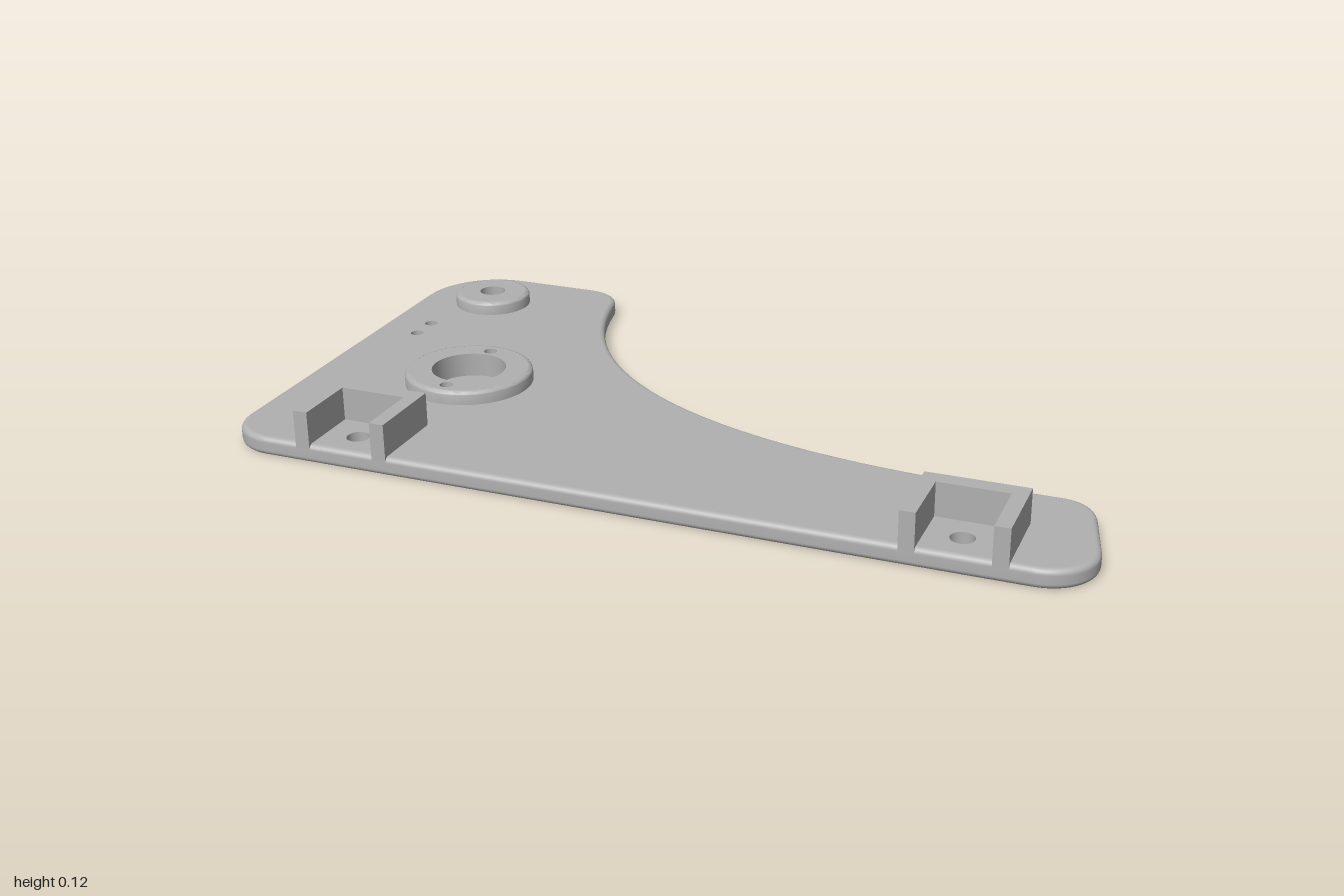
import * as THREE from 'three';
import { toCreasedNormals } from 'three/addons/utils/BufferGeometryUtils.js';

const T = 0.045;        // plate thickness
const BOSS = 0.078;     // top of the bosses
const F = 0.013;        // plate edge fillet
const FRONT = 0.585;

const grey = new THREE.MeshStandardMaterial({ color: 0xb0b0b0, side: THREE.DoubleSide });
grey.name = 'grey plastic';

function add(parent, name, geometry) {
  const mesh = new THREE.Mesh(geometry, grey);
  mesh.name = name;
  parent.add(mesh);
  return mesh;
}

// Turn a geometry inside out
function flip(g) {
  g.index.array.reverse();
  g.computeVertexNormals();
  return g;
}

// Shapes are drawn in (x, -z) so that they lie flat facing up
function circle(x, z, r, Type = THREE.Path) {
  const p = new Type();
  p.absarc(x, -z, r, 0, Math.PI * 2, false);
  return p;
}

function face(parent, name, shape, holes, y, down = false) {
  shape.holes = holes.map(([x, z, r]) => circle(x, z, r));
  const g = new THREE.ShapeGeometry(shape, 24).rotateX(-Math.PI / 2).translate(0, y, 0);
  add(parent, name, down ? flip(g) : g);
}

// Inner wall of a round hole
function bore(parent, name, [x, z, r], y0, y1) {
  const g = new THREE.CylinderGeometry(r, r, y1 - y0, 48, 1, true);
  add(parent, name, flip(g).translate(x, (y0 + y1) / 2, z));
}

// Plate outline, clockwise from the back left corner
function outlinePoints() {
  const s = new THREE.Shape();
  s.moveTo(-0.81, 0.585);
  s.lineTo(-0.605, 0.585);
  s.bezierCurveTo(-0.55, 0.585, -0.51, 0.557, -0.5, 0.51);
  s.bezierCurveTo(-0.42, 0.05, 0, -0.24, 0.7, -0.24);
  s.lineTo(0.87, -0.24);
  s.bezierCurveTo(0.915, -0.24, 0.947, -0.265, 0.96, -0.31);
  s.lineTo(0.995, -0.45);
  s.bezierCurveTo(1.012, -0.52, 0.96, -FRONT, 0.88, -FRONT);
  s.lineTo(-0.89, -FRONT);
  s.absarc(-0.89, -0.475, 0.11, -Math.PI / 2, -Math.PI, true);
  s.lineTo(-1, 0.395);
  s.absarc(-0.81, 0.395, 0.19, Math.PI, Math.PI / 2, true);
  const pts = s.getPoints(28);
  const out = pts.filter((p, i) => i === 0 || p.distanceTo(pts[i - 1]) > 1e-4);
  if (out[0].distanceTo(out[out.length - 1]) < 1e-4) out.pop();
  return out;
}

function inset(pts, d) {
  const n = pts.length;
  return pts.map((p, i) => {
    const a = p.clone().sub(pts[(i + n - 1) % n]).normalize();
    const b = pts[(i + 1) % n].clone().sub(p).normalize();
    const t = a.add(b).normalize();
    return new THREE.Vector2(p.x + t.y * d, p.y - t.x * d);
  });
}

// Rounded rim lofted around the outline
function rimGeometry(pts) {
  const steps = 6, rings = [], pos = [], idx = [], n = pts.length;
  for (let k = 0; k <= steps; k++) {
    const a = (k / steps) * Math.PI / 2;
    rings.push([F * (1 - Math.sin(a)), F * (1 - Math.cos(a))]);
  }
  for (let k = steps; k >= 0; k--) rings.push([rings[k][0], T - rings[k][1]]);
  for (const [d, y] of rings) for (const p of inset(pts, d)) pos.push(p.x, y, -p.y);
  for (let j = 0; j < rings.length - 1; j++) {
    for (let i = 0; i < n; i++) {
      const a = j * n + i, b = j * n + (i + 1) % n;
      idx.push(a, a + n, b, b, a + n, b + n);
    }
  }
  const g = new THREE.BufferGeometry();
  g.setAttribute('position', new THREE.Float32BufferAttribute(pos, 3));
  g.setIndex(idx);
  g.computeVertexNormals();
  return g;
}

// Round boss wall with a filleted top edge, and its top face
function boss(parent, name, [x, z, r], holes) {
  const f = 0.012, profile = [new THREE.Vector2(r, T - 0.005)];
  for (let k = 0; k <= 6; k++) {
    const a = (k / 6) * Math.PI / 2;
    profile.push(new THREE.Vector2(r - f + f * Math.cos(a), BOSS - f + f * Math.sin(a)));
  }
  const g = new THREE.LatheGeometry(profile, 64).translate(x, 0, z);
  add(parent, name + 'Wall', toCreasedNormals(g, 0.7));
  face(parent, name + 'Top', circle(x, z, r - f, THREE.Shape), holes, BOSS);
}

// U-shaped bracket, open to the front
function bracket(parent, name, x) {
  const back = 0.39, inner = 0.43, hw = 0.115, hi = 0.08;
  const s = new THREE.Shape([
    [-hw, -FRONT], [-hi, -FRONT], [-hi, -inner], [hi, -inner],
    [hi, -FRONT], [hw, -FRONT], [hw, -back], [-hw, -back],
  ].map(([u, v]) => new THREE.Vector2(x + u, v)));
  const y0 = T - 0.012;
  const g = new THREE.ExtrudeGeometry(s, { depth: 0.125 - y0, bevelEnabled: false });
  add(parent, name, g.rotateX(-Math.PI / 2).translate(0, y0, 0));
}

export function createModel() {
  const model = new THREE.Group();
  model.name = 'mountingPlate';

  const axle = [-0.61, 0.115], pivot = [-0.805, -0.395];
  const bracketX = [-0.69, 0.72];
  const axleHole = [...axle, 0.04], recess = [...axle, 0.09], pivotHole = [...pivot, 0.033];
  const pinHoles = [[-0.885, -0.195, 0.016], [-0.885, -0.12, 0.016]];
  const screwHoles = bracketX.map((x) => [x, 0.505, 0.027]);
  const pilotHoles = [[axle[0], 0, 0.016], [axle[0], 0.23, 0.016]];
  const recessFloor = 0.02;

  // Plate
  const plate = new THREE.Group();
  plate.name = 'plate';
  model.add(plate);
  const pts = outlinePoints(), flat = inset(pts, F);
  add(plate, 'plateRim', rimGeometry(pts));
  face(plate, 'plateTop', new THREE.Shape(flat),
    [[...axle, 0.15], [...pivot, 0.09], ...pinHoles, ...screwHoles], T);
  face(plate, 'plateBottom', new THREE.Shape(flat),
    [axleHole, pivotHole, ...pinHoles, ...screwHoles], 0, true);
  for (const h of pinHoles) bore(plate, 'pinHole', h, 0, T);
  for (const h of screwHoles) bore(plate, 'screwHole', h, 0, T);

  // Large boss with stepped bore and two blind pilot holes
  const axleBoss = new THREE.Group();
  axleBoss.name = 'axleBoss';
  model.add(axleBoss);
  boss(axleBoss, 'axleBoss', [...axle, 0.155], [recess, ...pilotHoles]);
  bore(axleBoss, 'recessWall', recess, recessFloor, BOSS);
  face(axleBoss, 'recessFloor', circle(...recess, THREE.Shape), [axleHole], recessFloor);
  bore(axleBoss, 'axleHole', axleHole, 0, recessFloor);
  for (const h of pilotHoles) {
    bore(axleBoss, 'pilotHole', h, T, BOSS);
    face(axleBoss, 'pilotHoleFloor', circle(...h, THREE.Shape), [], T);
  }

  // Small boss with a through hole
  const pivotBoss = new THREE.Group();
  pivotBoss.name = 'pivotBoss';
  model.add(pivotBoss);
  boss(pivotBoss, 'pivotBoss', [...pivot, 0.098], [pivotHole]);
  bore(pivotBoss, 'pivotHole', pivotHole, 0, BOSS);

  // Brackets along the front edge
  bracket(model, 'rightBracket', bracketX[0]);
  bracket(model, 'leftBracket', bracketX[1]);

  return model;
}
